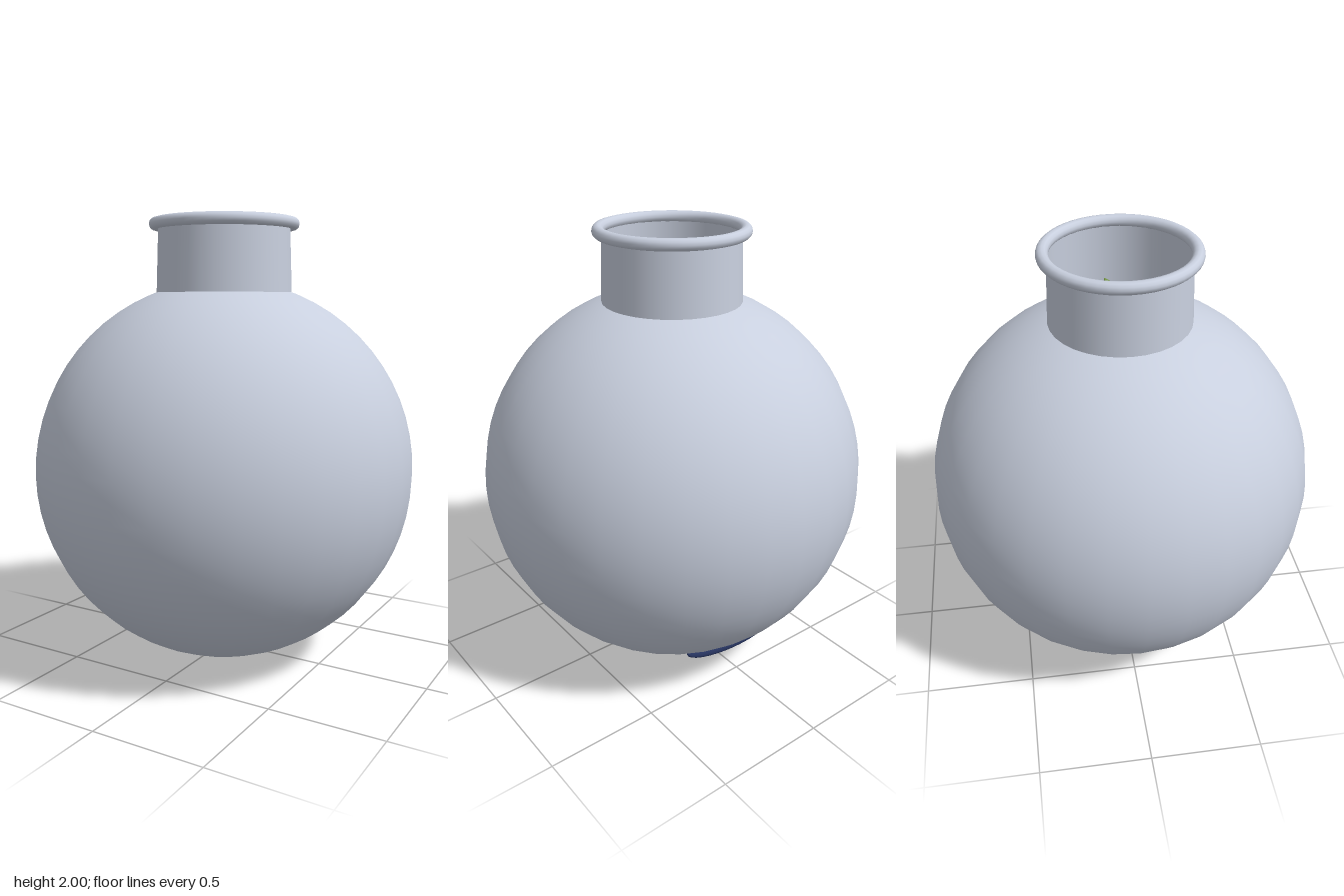
import * as THREE from 'three';

const glass = new THREE.MeshStandardMaterial({ name: 'pale glass', color: 0xc8cfde, side: THREE.DoubleSide });
const green = new THREE.MeshStandardMaterial({ name: 'leaf green', color: 0x779947 });
const navy = new THREE.MeshStandardMaterial({ name: 'deep navy', color: 0x2a3866 });

const BODY_RADIUS = 0.863;
const BODY_Y = 0.868;

function addPart(group, name, geometry, material, y = 0) {
  const mesh = new THREE.Mesh(geometry, material);
  mesh.name = name;
  mesh.position.y = y;
  group.add(mesh);
  return mesh;
}

// Unit sphere stretched into a lens with the given half sizes
function lens(rx, ry, rz) {
  return new THREE.SphereGeometry(1, 24, 16).scale(rx, ry, rz);
}

export function createModel() {
  const model = new THREE.Group();
  model.name = 'roundFlask';

  // Round body, closed beneath the neck
  addPart(model, 'body', new THREE.SphereGeometry(BODY_RADIUS, 32, 32), glass, BODY_Y);

  // Open, slightly tapered neck with a rolled lip
  addPart(model, 'neck', new THREE.CylinderGeometry(0.295, 0.306, 0.31, 32, 1, true), glass, 1.815);
  addPart(model, 'lip', new THREE.TorusGeometry(0.311, 0.026, 12, 48).rotateX(Math.PI / 2), glass, 1.974);

  // Leaf blade leaning out of the body inside the neck
  const leaf = addPart(model, 'leaf', lens(0.13, 0.07, 0.012), green);
  leaf.position.set(0.135, 1.722, 0.01);
  leaf.rotation.set(-0.75, 0.235, -0.1, 'YXZ');

  // Pebble pushing through the low back of the body
  const pebble = addPart(model, 'pebble', lens(0.24, 0.055, 0.03), navy);
  const outward = new THREE.Vector3(0.03, -0.69, -0.48).normalize();
  const along = new THREE.Vector3(0.43, 0.01, 0.035);
  along.addScaledVector(outward, -along.dot(outward)).normalize();
  const across = new THREE.Vector3().crossVectors(along, outward);
  pebble.quaternion.setFromRotationMatrix(new THREE.Matrix4().makeBasis(along, outward, across));
  pebble.position.copy(outward).multiplyScalar(0.832);
  pebble.position.y += BODY_Y;

  return model;
}
